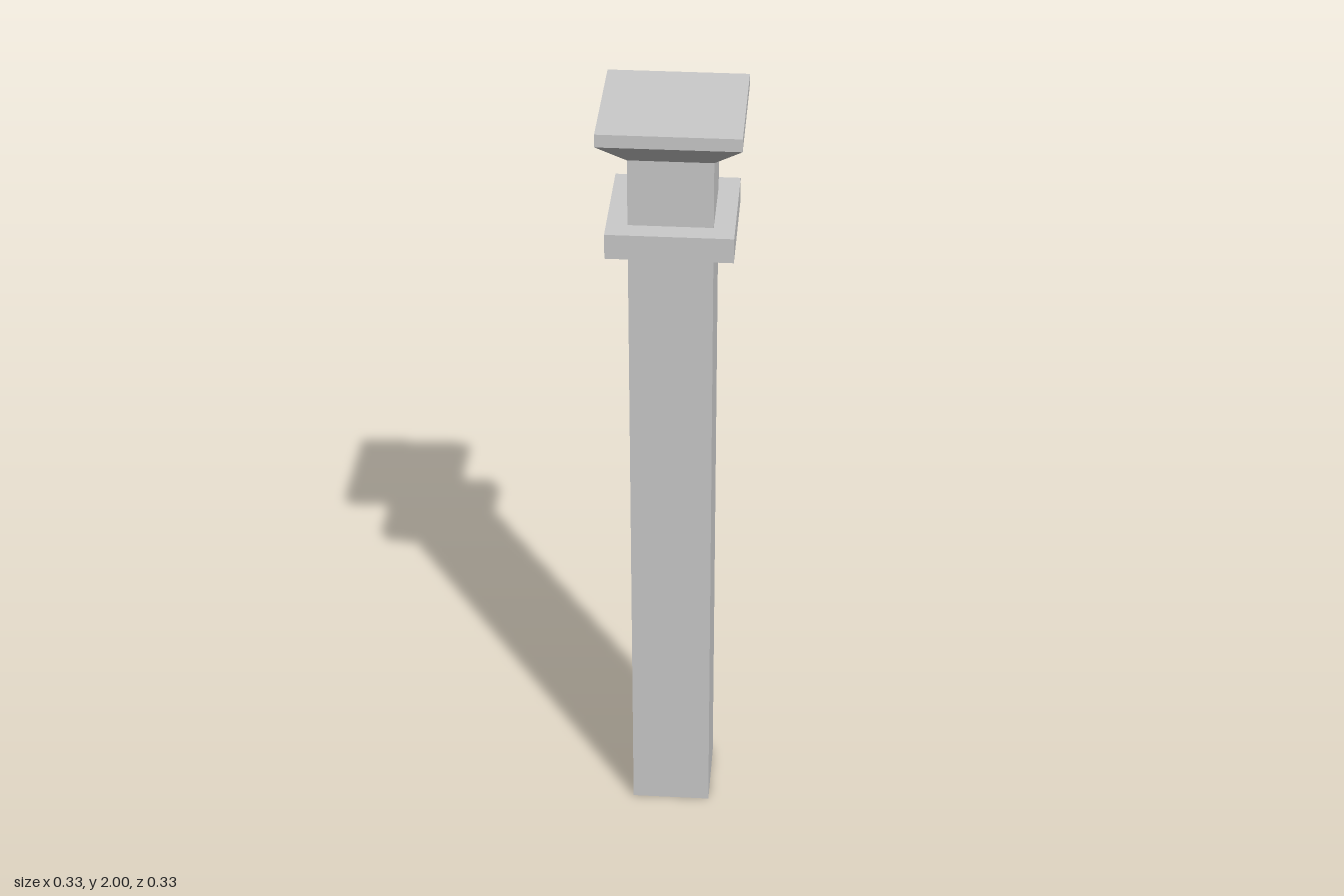
import * as THREE from 'three';

const material = new THREE.MeshStandardMaterial({ color: 0xcccccc, flatShading: true });

// Square section from y0 to y1, with half widths at the bottom and top
function squareSection(name, y0, y1, bottom, top = bottom) {
  const geometry = new THREE.CylinderGeometry(top * Math.SQRT2, bottom * Math.SQRT2, y1 - y0, 4);
  geometry.rotateY(Math.PI / 4);
  geometry.translate(0, (y0 + y1) / 2, 0);
  const mesh = new THREE.Mesh(geometry, material);
  mesh.name = name;
  return mesh;
}

export function createModel() {
  const column = new THREE.Group();
  column.name = 'squareColumn';
  column.add(
    squareSection('shaft', 0, 1.903, 0.1),
    squareSection('collar', 1.672, 1.735, 0.15),
    // Capital flares out to a flat slab
    squareSection('capitalFlare', 1.903, 1.968, 0.1, 0.167),
    squareSection('capitalSlab', 1.968, 2, 0.167)
  );
  return column;
}
